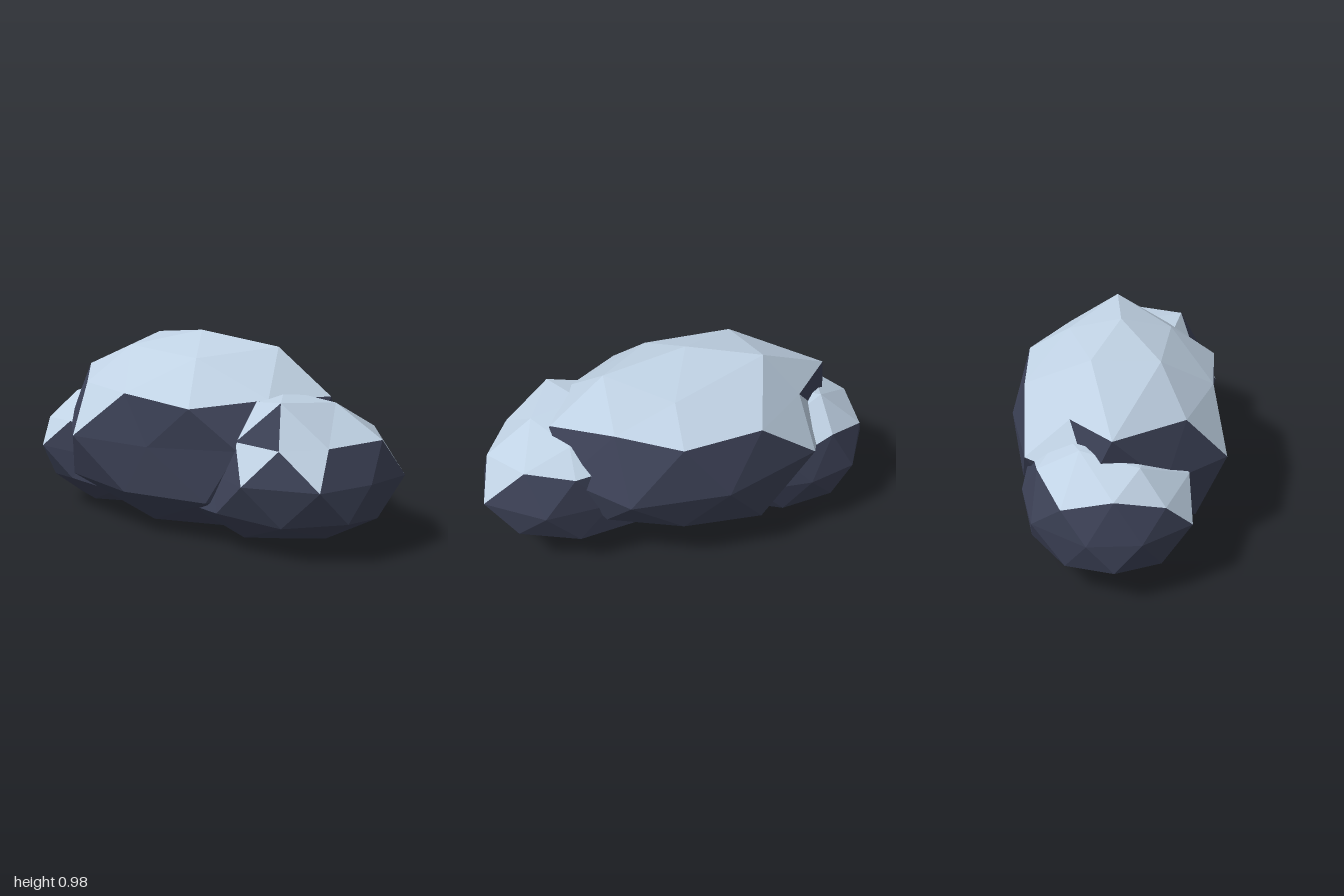
import * as THREE from 'three';

const darkStone = new THREE.MeshStandardMaterial({ color: 0x3c4156 });
darkStone.name = 'darkStone';
const paleTop = new THREE.MeshStandardMaterial({ color: 0xc0d2e4 });
paleTop.name = 'paleTop';

// Faceted boulder: a pole-up icosphere, stretched, with some corners pulled to given points.
// Faces that look upward get the pale colour.
function boulder(name, center, radii, corners) {
  const geo = new THREE.IcosahedronGeometry(1, 1);
  geo.rotateZ(-Math.atan2(1, (1 + Math.sqrt(5)) / 2));
  geo.scale(...radii);
  geo.translate(...center);
  const pos = geo.attributes.position;
  const ideal = [];
  for (let i = 0; i < pos.count; i++) ideal.push(new THREE.Vector3().fromBufferAttribute(pos, i));

  // Each listed corner moves the one vertex that lies nearest to it
  for (const c of corners) {
    const target = new THREE.Vector3(...c);
    const near = ideal.reduce((a, b) => (b.distanceTo(target) < a.distanceTo(target) ? b : a));
    ideal.forEach((v, i) => {
      if (v.distanceTo(near) < 1e-3) pos.setXYZ(i, ...c);
    });
  }

  geo.computeVertexNormals();
  geo.clearGroups();
  for (let i = 0; i < pos.count; i += 3) {
    geo.addGroup(i, 3, geo.attributes.normal.getY(i) > 0.47 ? 1 : 0);
  }
  const mesh = new THREE.Mesh(geo, [darkStone, paleTop]);
  mesh.name = name;
  return mesh;
}

export function createModel() {
  const rock = new THREE.Group();
  rock.name = 'rock';

  // Large boulder in the middle
  rock.add(boulder('mainBoulder', [-0.06, 0.5, 0], [0.73, 0.47, 0.54], [
    [-0.06, 0.975, 0], [0.36, 0.92, 0], [0.05, 0.875, 0.25], [-0.4, 0.93, -0.15],
    [0.635, 0.705, 0], [0.14, 0.68, 0.48], [-0.24, 0.71, 0.43], [-0.57, 0.71, 0.27],
    [-0.79, 0.74, -0.07], [-0.25, 0.74, -0.46], [0.14, 0.73, -0.45], [0.4, 0.75, -0.25],
    [-0.52, 0.48, 0.47], [-0.1, 0.47, 0.46], [-0.06, 0.47, -0.54], [-0.55, 0.52, -0.46],
    [-0.63, 0.24, 0.32], [-0.24, 0.23, 0.45], [0.2, 0.23, 0.43], [-0.26, 0.23, -0.49],
    [-0.2, 0.04, 0.24], [0.2, 0.04, 0.15], [-0.18, 0.05, -0.26], [0.1, 0.855, -0.25],
    [0.4, 0.46, -0.44], [0.44, 0.715, 0.27], [-0.56, 0.72, -0.25],
  ]));

  // Smaller boulder on the left, towards the front
  rock.add(boulder('leftBoulder', [0.44, 0.37, 0.1], [0.59, 0.37, 0.43], [
    [0.43, 0, 0.1], [0.44, 0.735, 0.1], [0.44, 0.37, 0.54], [1, 0.365, -0.03],
    [0.93, 0.37, 0.22], [0.78, 0.365, 0.45], [0.76, 0.365, -0.255], [0.93, 0.55, 0.1],
    [0.58, 0.53, 0.45], [0.77, 0.54, 0.34], [0.81, 0.56, -0.12], [0.7, 0.7, 0.1],
    [0.54, 0.725, 0.35], [0.35, 0.54, 0.42], [0.92, 0.18, 0.1], [0.67, 0.04, 0.1],
    [0.2, 0.36, 0.37], [0.44, 0.37, -0.28], [0.6, 0.55, -0.25], [0.58, 0.65, -0.12],
  ]));

  // Smaller boulder on the right, towards the back
  rock.add(boulder('rightBoulder', [-0.55, 0.33, -0.07], [0.49, 0.32, 0.43], [
    [-0.55, 0.01, -0.07], [-1, 0.2, -0.07], [-0.99, 0.34, -0.19], [-0.99, 0.34, 0.05],
    [-0.94, 0.53, -0.07], [-0.86, 0.35, 0.28], [-0.8, 0.33, -0.43], [-0.54, 0.34, -0.48],
    [-0.78, 0.05, 0.05], [-0.8, 0.61, 0.05], [-0.71, 0.65, -0.21], [-0.68, 0.54, -0.4],
    [-0.55, 0.33, 0.28], [-0.69, 0.19, 0.26],
  ]));

  return rock;
}
